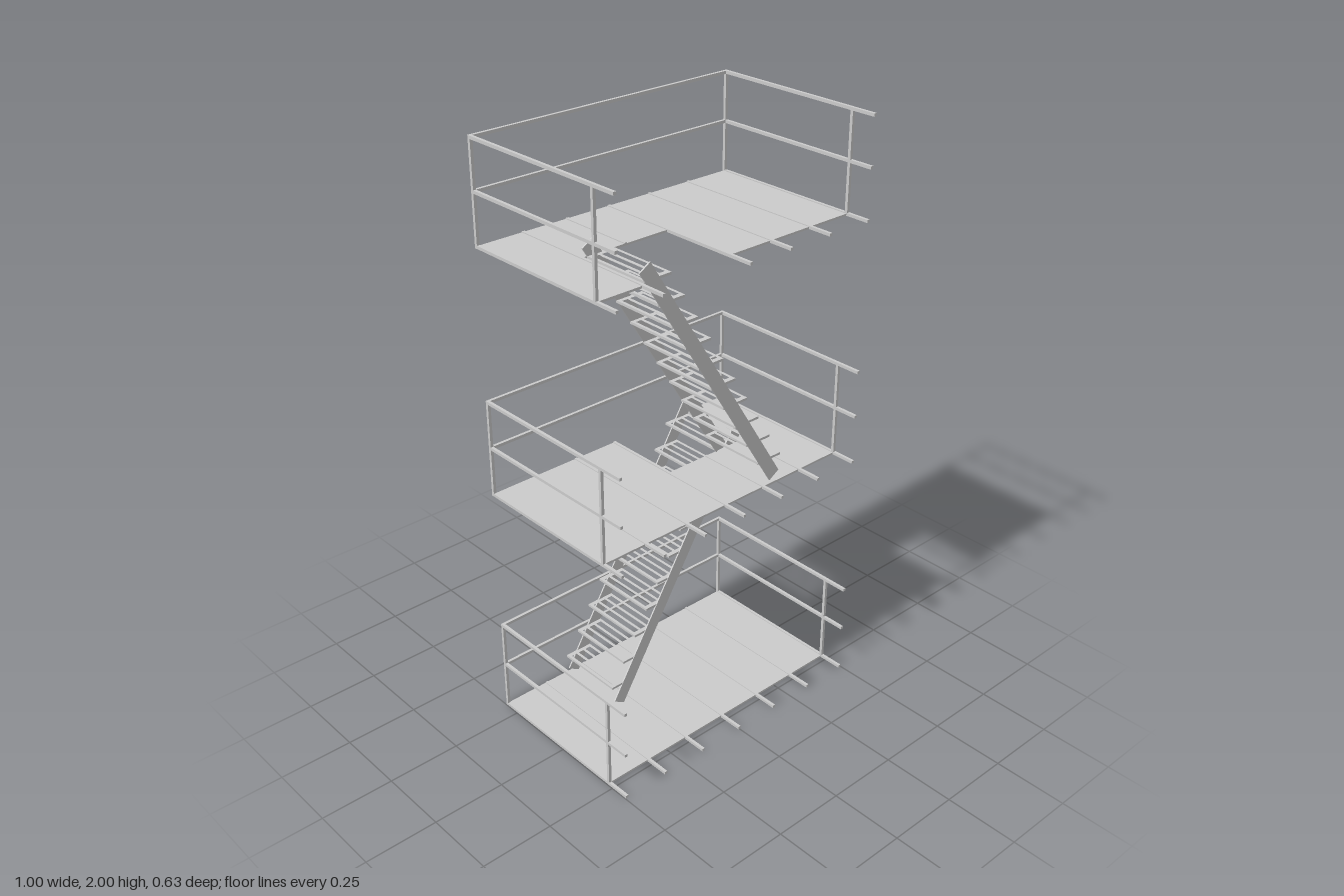
import * as THREE from 'three';

const material = new THREE.MeshStandardMaterial({ color: 0xcccccc, flatShading: true });
const STOREY = 0.832;           // floor to floor
const BAR = 0.01;               // square section of rails, posts and joists
const X = 0.493, BACK = -0.307, DECK_FRONT = 0.23, TIP = 0.315, MIDDLE = -0.035;

// Box given by its limits on each axis
function box(parent, name, x0, x1, y0, y1, z0, z1) {
  const mesh = new THREE.Mesh(new THREE.BoxGeometry(x1 - x0, y1 - y0, z1 - z0), material);
  mesh.name = name;
  mesh.position.set((x0 + x1) / 2, (y0 + y1) / 2, (z0 + z1) / 2);
  parent.add(mesh);
  return mesh;
}

// Flat outline in x and z, thickened upwards
function plate(parent, name, points, thickness, holes = []) {
  const outline = new THREE.Shape(points.map(([x, z]) => new THREE.Vector2(x, -z)));
  for (const hole of holes) {
    outline.holes.push(new THREE.Path(hole.map(([x, z]) => new THREE.Vector2(x, -z))));
  }
  const geometry = new THREE.ExtrudeGeometry(outline, { depth: thickness, bevelEnabled: false });
  geometry.rotateX(-Math.PI / 2);
  const mesh = new THREE.Mesh(geometry, material);
  mesh.name = name;
  parent.add(mesh);
  return mesh;
}

const rect = (x0, x1, z0, z1) => [[x0, z0], [x1, z0], [x1, z1], [x0, z1]];

// Deck with joists and railing; the opening lets the flight below come up
function platform(level, opening) {
  const group = new THREE.Group();
  group.name = 'platform' + level;
  const h = BAR / 2;

  const outline = [[-X, BACK], [X, BACK], [X, DECK_FRONT], [-X, DECK_FRONT]];
  if (opening === 'back') {
    outline.splice(1, 0, [0, BACK], [0, MIDDLE], [0.328, MIDDLE], [0.328, BACK]);
  } else if (opening === 'front') {
    outline.splice(3, 0, [0, DECK_FRONT], [0, MIDDLE], [-0.328, MIDDLE], [-0.328, DECK_FRONT]);
  }
  plate(group, 'deck', outline, 0.007);

  // Joists run through to wall stubs at the front, cut short at the opening
  for (let i = -3; i <= 3; i++) {
    const x = i * X / 3;
    const z0 = opening === 'back' && i === 1 ? MIDDLE : BACK;
    const z1 = opening === 'front' && i === -1 ? MIDDLE : TIP;
    box(group, 'joist', x - h, x + h, 0.0004, BAR, z0, z1);
  }

  // Railing on the back and both ends
  for (const y of [0.172, 0.331]) {
    box(group, 'backRail', -X, X, y - h, y + h, BACK - h, BACK + h);
    for (const side of [-1, 1]) {
      box(group, 'sideRail', side * X - h, side * X + h, y - h, y + h, BACK - h, TIP);
    }
  }
  for (const side of [-1, 1]) {
    for (const z of [BACK, 0.228]) {
      box(group, 'post', side * X - h, side * X + h, 0, 0.336, z - h, z + h);
    }
  }
  group.position.y = level * STOREY;
  return group;
}

// One flight, rising towards +x (direction 1) or -x (direction -1)
function flight(level, direction, z0, z1) {
  const group = new THREE.Group();
  group.name = 'flight' + level;
  const low = new THREE.Vector2(-0.223, 0.022), high = new THREE.Vector2(0.312, 0.883);
  const run = high.clone().sub(low);

  // Sloping side plates
  for (const z of [z0, z1]) {
    const stringer = box(group, 'stringer', 0, run.length(), 0, 0.046, z - 0.0025, z + 0.0025);
    stringer.position.set(direction * (low.x + high.x) / 2, (low.y + high.y) / 2, z);
    stringer.rotation.z = direction * run.angle();
  }

  // Slotted treads
  const depth = 0.1, slot = 0.02, gap = 0.01;
  const slots = [0, 1, 2].map((i) => {
    const x = -depth / 2 + gap + i * (slot + gap);
    return rect(x, x + slot, z0 + 0.016, z1 - 0.016);
  });
  for (let k = 1; k <= 10; k++) {
    const tread = plate(group, 'tread', rect(-depth / 2, depth / 2, z0, z1), 0.008, slots);
    const nose = -0.25 + (k - 1) * 0.0515;
    tread.position.set(direction * (nose + depth / 2), k * STOREY / 10 + 0.003, 0);
  }
  group.position.y = level * STOREY;
  return group;
}

export function createModel() {
  const model = new THREE.Group();
  model.name = 'stairTower';
  model.add(platform(0), platform(1, 'back'), platform(2, 'front'));
  model.add(flight(0, 1, -0.288, -0.043), flight(1, -1, -0.028, 0.217));
  return model;
}
